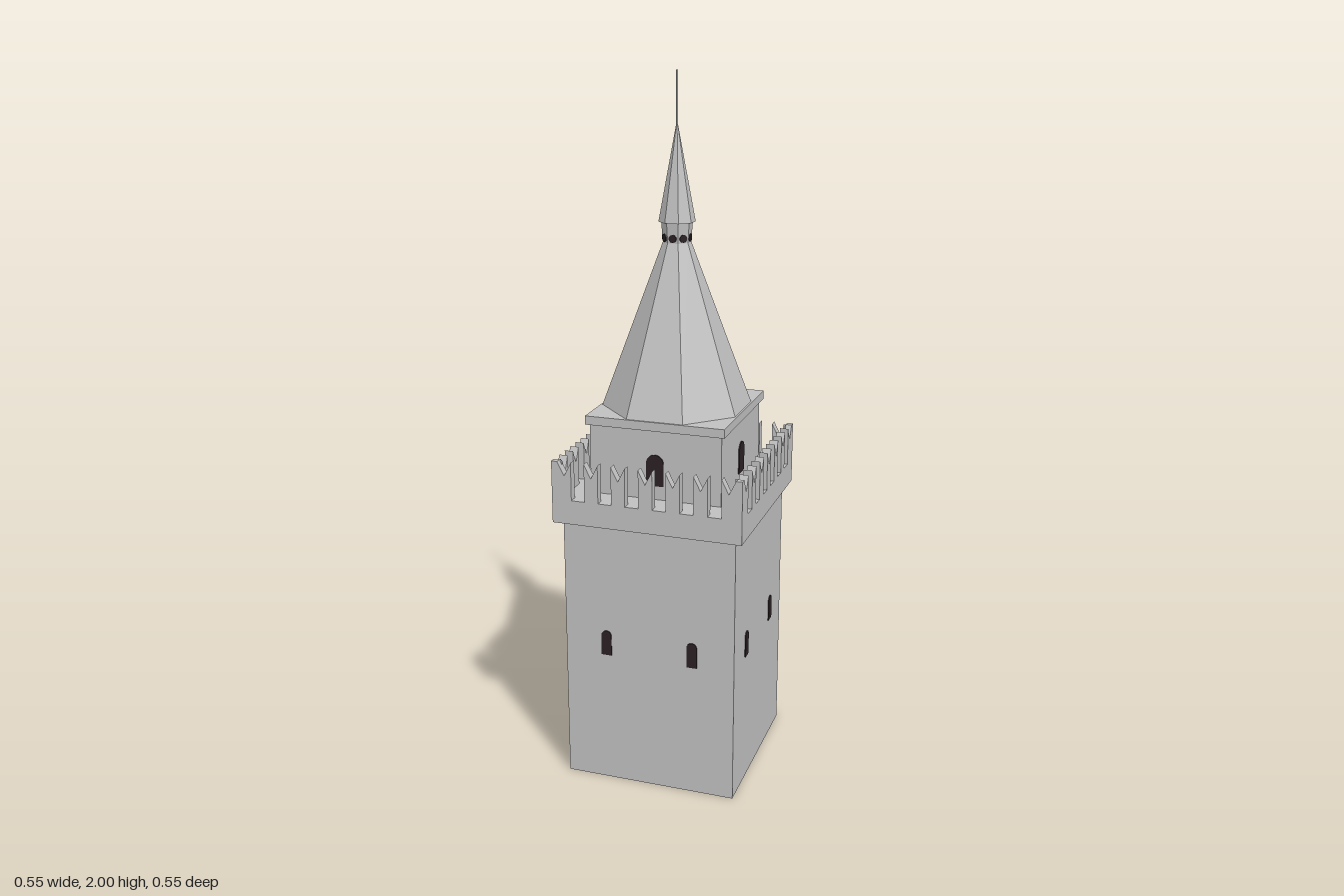
import * as THREE from 'three';

const stone = new THREE.MeshStandardMaterial({ color: 0xc0c0c0, flatShading: true, side: THREE.DoubleSide });
stone.name = 'stone';
const dark = new THREE.MeshStandardMaterial({ color: 0x2a2022, flatShading: true });
dark.name = 'darkOpening';

function add(parent, name, geometry, material, x = 0, y = 0, z = 0) {
  const mesh = new THREE.Mesh(geometry, material);
  mesh.name = name;
  mesh.position.set(x, y, z);
  parent.add(mesh);
  return mesh;
}

// Square block given by half width and its bottom and top heights
function block(parent, name, half, y0, y1) {
  add(parent, name, new THREE.BoxGeometry(half * 2, y1 - y0, half * 2), stone, 0, (y0 + y1) / 2, 0);
}

// Eight-sided ring or cone with flat sides facing the axes; radii are to the flats
function octagon(parent, name, bottom, top, y0, y1, open = true) {
  const k = 1 / Math.cos(Math.PI / 8);
  const g = new THREE.CylinderGeometry(top * k, bottom * k, y1 - y0, 8, 1, open, Math.PI / 8);
  add(parent, name, g, stone, 0, (y0 + y1) / 2, 0);
}

// Thin arched plate standing on y = 0
function archGeometry(width, height) {
  const r = width / 2;
  const s = new THREE.Shape();
  s.moveTo(-r, 0);
  s.lineTo(r, 0);
  s.lineTo(r, height - r);
  s.absarc(0, height - r, r, 0, Math.PI, false);
  s.lineTo(-r, 0);
  return new THREE.ExtrudeGeometry(s, { depth: 0.004, bevelEnabled: false, curveSegments: 8 });
}

// Swallowtail merlon with a V notch
function merlonGeometry() {
  const s = new THREE.Shape([[-0.02, 0], [0.02, 0], [0.02, 0.11], [0, 0.07], [-0.02, 0.11]]
    .map(([x, y]) => new THREE.Vector2(x, y)));
  return new THREE.ExtrudeGeometry(s, { depth: 0.025, bevelEnabled: false });
}

export function createModel() {
  const tower = new THREE.Group();
  tower.name = 'tower';

  // Shaft, open underneath
  const wall = new THREE.PlaneGeometry(0.5, 0.79);
  const slit = archGeometry(0.03, 0.075);
  const door = archGeometry(0.05, 0.09);
  const merlon = merlonGeometry();
  const post = new THREE.BoxGeometry(0.0175, 0.11, 0.0175);

  // Four identical sides
  for (let i = 0; i < 4; i++) {
    const side = new THREE.Group();
    side.name = 'side' + (i + 1);
    side.rotation.y = i * Math.PI / 2;
    tower.add(side);
    add(side, 'shaftWall', wall, stone, 0, 0.395, 0.25);
    for (const x of [-0.127, 0.127]) add(side, 'slitWindow', slit, dark, x, 0.395, 0.249);
    add(side, 'turretWindow', door, dark, 0, 0.9, 0.189);
    for (let m = -3; m <= 3; m++) add(side, 'merlon', merlon, stone, m * 0.0785, 0.86, 0.248);
    add(side, 'cornerPost', post, stone, 0.26425, 0.915, 0.26425);
  }

  // Overhanging platform, turret and cornice
  block(tower, 'platform', 0.273, 0.79, 0.86);
  block(tower, 'turret', 0.19, 0.86, 1.06);
  block(tower, 'cornice', 0.2, 1.06, 1.085);

  // Roof, lantern, spire and finial
  octagon(tower, 'roof', 0.195, 0.036, 1.085, 1.545);
  octagon(tower, 'lantern', 0.036, 0.04, 1.545, 1.6);
  octagon(tower, 'spire', 0.047, 0.0005, 1.6, 1.87, false);
  const pole = new THREE.CylinderGeometry(0.003, 0.003, 0.14, 6);
  add(tower, 'finial', pole, stone, 0, 1.93, 0);

  // Small round openings around the lantern
  const hole = new THREE.CylinderGeometry(0.011, 0.011, 0.006, 10).rotateX(Math.PI / 2);
  for (let i = 0; i < 8; i++) {
    const a = i * Math.PI / 4;
    const h = add(tower, 'lanternOpening', hole, dark, Math.sin(a) * 0.037, 1.558, Math.cos(a) * 0.037);
    h.rotation.y = a;
  }
  return tower;
}
